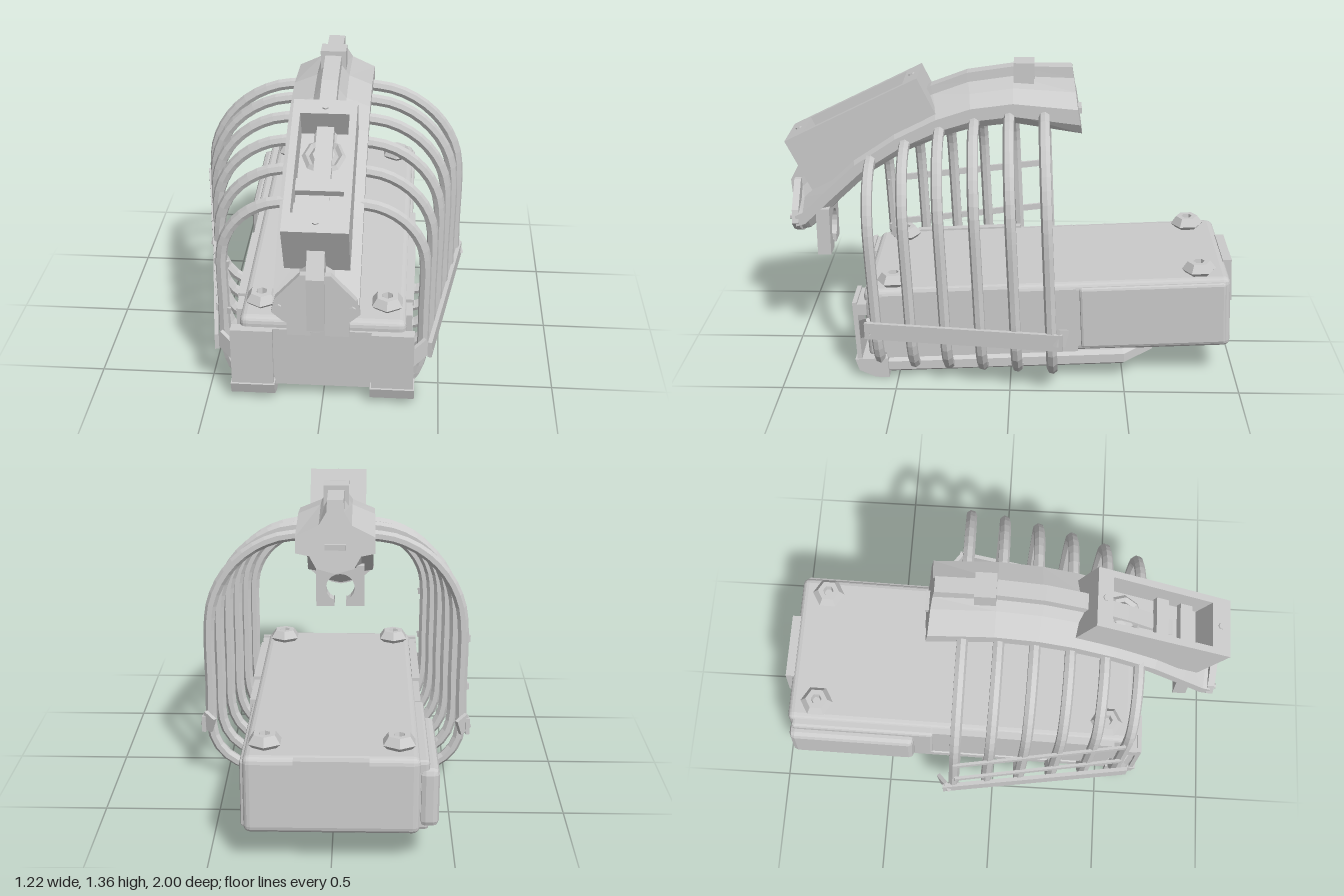
import * as THREE from 'three';
import { RoundedBoxGeometry } from 'three/addons/geometries/RoundedBoxGeometry.js';

const mat = new THREE.MeshStandardMaterial({ color: 0xcccccc, flatShading: true, side: THREE.DoubleSide });

function add(parent, name, geo, x = 0, y = 0, z = 0) {
  const m = new THREE.Mesh(geo, mat);
  m.name = name;
  m.position.set(x, y, z);
  parent.add(m);
  return m;
}
const box = (w, h, d) => new THREE.BoxGeometry(w, h, d);
const shapeOf = pts => new THREE.Shape(pts.map(p => new THREE.Vector2(p[0], p[1])));
const rect = (x, y0, y1) => [[-x, y0], [x, y0], [x, y1], [-x, y1]];

// Side profile given as [z, y], extruded to a width centred on x
function sideProfile(pts, width) {
  const g = new THREE.ExtrudeGeometry(shapeOf(pts), { depth: width, bevelEnabled: false });
  return g.translate(0, 0, -width / 2).rotateY(-Math.PI / 2);
}

// Flat bar between two points
function bar(parent, name, a, b, height, thick) {
  const p = new THREE.Vector3(...a), q = new THREE.Vector3(...b);
  const m = add(parent, name, box(thick, height, p.distanceTo(q) + thick));
  m.position.copy(p).add(q).multiplyScalar(0.5);
  m.lookAt(q);
  return m;
}

// Spine: one cross-section swept over stations [zTop, yTop, zBottom, yBottom]
function spineGeometry() {
  const half = [[0.035, 0], [0.037, 0.16], [0.07, 0.34], [0.17, 0.5], [0.17, 0.72], [0.11, 0.76], [0.08, 0.93]];
  const profile = [...half, [0, 1], ...half.map(([x, t]) => [-x, t]).reverse()];
  const stations = [
    [-0.26, 1.34, -0.31, 1.03], [0, 1.34, -0.01, 1.08], [0.2, 1.31, 0.16, 1.06],
    [0.36, 1.25, 0.3, 1.02], [0.55, 1.14, 0.47, 0.95], [0.75, 1.0, 0.63, 0.85],
    [0.88, 0.88, 0.78, 0.71], [0.95, 0.82, 0.91, 0.58], [0.97, 0.8, 0.96, 0.57]];
  const pos = [], idx = [], n = profile.length;
  const put = (s, x, t) => pos.push(x, s[1] + (s[3] - s[1]) * t, s[0] + (s[2] - s[0]) * t);
  stations.forEach((s, k) => {
    profile.forEach(([x, t]) => put(s, x, t));
    if (k === 0) return;
    for (let i = 0; i < n; i++) {
      const a = (k - 1) * n + i, b = (k - 1) * n + (i + 1) % n;
      idx.push(a, a + n, b, b, a + n, b + n);
    }
  });
  const last = stations.length - 1, c = pos.length / 3;
  put(stations[0], 0, 0.6);
  put(stations[last], 0, 0.6);
  for (let i = 0; i < n; i++) {
    const j = (i + 1) % n;
    idx.push(c, i, j, c + 1, last * n + j, last * n + i);
  }
  const g = new THREE.BufferGeometry();
  g.setAttribute('position', new THREE.Float32BufferAttribute(pos, 3));
  g.setIndex(idx);
  g.computeVertexNormals();
  return g;
}

function buildBase(root) {
  const base = new THREE.Group();
  base.name = 'base';
  base.rotation.x = 0.05;
  root.add(base);

  add(base, 'baseBody', new RoundedBoxGeometry(0.71, 0.33, 1.61, 2, 0.03), 0, 0.27, -0.175);
  // Chassis plate with cut corners
  const plan = [[-0.36, -0.53], [0.36, -0.53], [0.36, 0.5], [0.25, 0.62], [-0.25, 0.62], [-0.36, 0.5]];
  const plate = new THREE.ExtrudeGeometry(shapeOf(plan), { depth: 0.04, bevelThickness: 0.015, bevelSize: 0.02, bevelSegments: 1 });
  add(base, 'chassisPlate', plate.rotateX(-Math.PI / 2), 0, 0.06, 0);
  add(base, 'bottomHatch', box(0.18, 0.012, 0.36), 0, 0.044, 0);
  add(base, 'frontPanel', box(0.42, 0.29, 0.02), 0, 0.245, 0.63);
  add(base, 'rearPanel', box(0.3, 0.2, 0.04), 0, 0.335, -0.99);
  add(base, 'leftRearPanel', new RoundedBoxGeometry(0.03, 0.29, 0.64, 1, 0.012), 0.35, 0.27, -0.64);
  add(base, 'rightRearPanel', new RoundedBoxGeometry(0.08, 0.25, 0.58, 1, 0.025), -0.39, 0.26, -0.68);
  add(base, 'rightRearTrim', new RoundedBoxGeometry(0.06, 0.3, 0.66, 1, 0.015), -0.36, 0.27, -0.63);

  const boltGeo = new THREE.LatheGeometry([[0.055, 0], [0.075, 0.02], [0.05, 0.055], [0.025, 0.055], [0.02, 0.025], [0, 0.025]]
    .map(p => new THREE.Vector2(...p)), 6);
  const foot = [[0.54, 0.03], [0.6, 0.035], [0.67, 0.07], [0.685, 0.125], [0.54, 0.125]];
  for (const s of [1, -1]) {
    for (const z of [-0.85, 0.5]) add(base, 'bolt', boltGeo, s * 0.27, 0.433, z);
    add(base, 'frontFoot', sideProfile(foot, 0.19), s * 0.3, 0, 0);
    add(base, 'cornerPlate', box(0.18, 0.28, 0.02), s * 0.3, 0.26, 0.665);
    add(base, 'cornerCap', box(0.18, 0.05, 0.06), s * 0.3, 0.365, 0.645);
    add(base, 'sideRail', box(0.035, 0.3, 0.85), s * 0.36, 0.27, 0.12);
    add(base, 'topRail', box(0.035, 0.03, 0.5), s * 0.365, 0.42, 0.2);
    // Strap around the outside of the ribs
    const path = [[0.36, 0.64], [0.455, 0.61], [0.595, -0.23], [0.55, -0.24]];
    for (let i = 0; i < 3; i++) {
      const [a, b] = [path[i], path[i + 1]];
      bar(base, 'sideStrap', [s * a[0], 0.285, a[1]], [s * b[0], 0.285, b[1]], 0.075, 0.018);
    }
  }
}

function buildRibs(root) {
  const tops = [0.95, 1.025, 1.085, 1.125, 1.15, 1.155];
  tops.forEach((top, i) => {
    const X = 0.425 + i * 0.0275, zTop = 0.62 - i * 0.152, zBottom = 0.575 - i * 0.153;
    for (const s of [1, -1]) {
      const pts = [];
      const put = (x, y) => pts.push(new THREE.Vector3(s * x, y, zBottom + (zTop - zBottom) * y / top));
      const foot = 0.07 - (i > 0 ? 0.01 : 0), lowR = X - 0.34, upR = X - 0.14;
      for (let k = 0; k <= 4; k++) {
        const a = k / 4 * Math.PI / 2;
        put(0.34 + lowR * Math.sin(a), foot + 0.21 * (1 - Math.cos(a)));
      }
      put(X, 0.45);
      for (let k = 0; k <= 6; k++) {
        const a = k / 6 * Math.PI / 2;
        put(0.14 + upR * Math.cos(a), top - upR * (1 - Math.sin(a)));
      }
      const curve = new THREE.CatmullRomCurve3(pts, false, 'centripetal');
      add(root, 'rib', new THREE.TubeGeometry(curve, 26, 0.025, 7));
    }
  });
  // Thin strips that tie the ribs together on one side
  for (const y of [0.64, 0.41]) {
    bar(root, 'ribStrip', [-0.4, y, 0.61], [-0.45, y + 0.005, 0.59], 0.03, 0.012);
    bar(root, 'ribStrip', [-0.45, y + 0.005, 0.59], [-0.59, y + 0.045, -0.16], 0.03, 0.012);
  }
}

function buildSpine(root) {
  add(root, 'spine', spineGeometry());
  add(root, 'spineClip', box(0.11, 0.1, 0.09), 0, 1.31, -0.05);
  add(root, 'spineTab', box(0.09, 0.025, 0.06), 0, 1.145, -0.275);

  // Shield and ridge at the front end
  const shield = [[-0.05, 0.57], [0, 0.56], [0.05, 0.57], [0.13, 0.61], [0.175, 0.65], [0.16, 0.71], [0.06, 0.82],
    [-0.06, 0.82], [-0.16, 0.71], [-0.175, 0.65], [-0.13, 0.61]];
  add(root, 'frontShield', new THREE.ExtrudeGeometry(shapeOf(shield), { depth: 0.03, bevelEnabled: false }), 0, 0, 0.95);
  add(root, 'frontRidge', sideProfile([[0.95, 0.57], [0.985, 0.57], [1, 0.81], [0.94, 0.92], [0.84, 0.9]], 0.07));
  for (const s of [1, -1]) {
    add(root, 'shieldBolt', new THREE.CylinderGeometry(0.013, 0.013, 0.02, 6).rotateX(Math.PI / 2), s * 0.145, 0.675, 0.98);
  }

  // Bracket with a round notch under the front end
  const bracket = new THREE.Shape();
  bracket.moveTo(0.03, 0.48).lineTo(0.125, 0.48).lineTo(0.125, 0.7).lineTo(-0.125, 0.7);
  bracket.lineTo(-0.125, 0.48).lineTo(-0.03, 0.48).lineTo(-0.03, 0.52);
  bracket.absarc(0, 0.58, 0.075, Math.PI * 1.35, -Math.PI * 0.35, true);
  bracket.lineTo(0.03, 0.52);
  add(root, 'frontBracket', new THREE.ExtrudeGeometry(bracket, { depth: 0.06, bevelEnabled: false, curveSegments: 8 }), 0, 0, 0.82);

  // Head housing: tilted box with a pocket in its upper face
  const head = new THREE.Group();
  head.name = 'head';
  head.position.set(0, 1.165, 0.705);
  head.rotation.x = 0.457;
  root.add(head);
  const face = shapeOf(rect(0.13, -0.328, 0.328));
  face.holes.push(new THREE.Path(rect(0.1, -0.238, 0.255).map(p => new THREE.Vector2(...p))));
  const frame = new THREE.ExtrudeGeometry(face, { depth: 0.25, bevelEnabled: false }).rotateX(-Math.PI / 2);
  add(head, 'headFrame', frame, 0, -0.25, 0);
  add(head, 'pocketFloor', box(0.22, 0.06, 0.52), 0, -0.16, 0);
  add(head, 'ventRing', new THREE.TorusGeometry(0.075, 0.015, 4, 8).rotateX(Math.PI / 2), 0, -0.12, -0.13);
  add(head, 'ventDisc', new THREE.CylinderGeometry(0.045, 0.07, 0.03, 8), 0, -0.12, -0.13);
  for (const z of [0.04, 0.16]) add(head, 'pocketSlat', box(0.2, 0.03, 0.06), 0, -0.1, z);
  for (const z of [-0.29, 0.28]) add(head, 'headBolt', new THREE.CylinderGeometry(0.014, 0.014, 0.012, 6), 0, 0, z);
}

export function createModel() {
  const root = new THREE.Group();
  root.name = 'ribbedCage';
  buildBase(root);
  buildRibs(root);
  buildSpine(root);
  return root;
}
